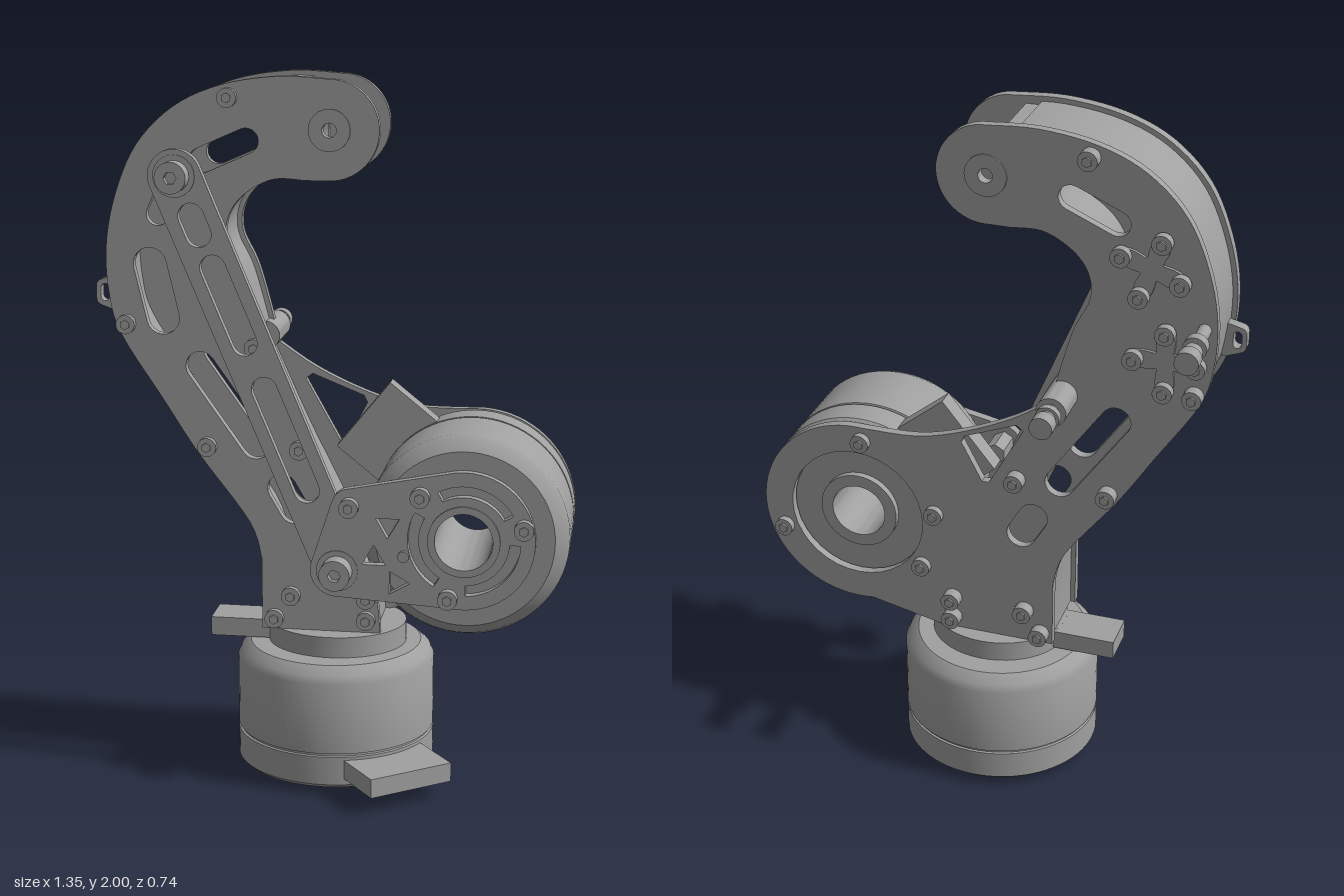
import * as THREE from 'three';
import { toCreasedNormals } from 'three/addons/utils/BufferGeometryUtils.js';

const grey = new THREE.MeshStandardMaterial({ color: 0xa0a0a0 });
grey.name = 'machined grey';

const V = (x, y) => new THREE.Vector2(x, y);
const toV = (list) => list.map(([x, y]) => V(x, y));

export function createModel() {
  const model = new THREE.Group();
  model.name = 'robotArm';

  const add = (name, geo, x = 0, y = 0, z = 0) => {
    const m = new THREE.Mesh(toCreasedNormals(geo, 0.5), grey);
    m.name = name;
    m.position.set(x, y, z);
    model.add(m);
    return m;
  };

  // ---------- outline helpers ----------
  const ccw = (pts) => (THREE.ShapeUtils.area(pts) < 0 ? pts.slice().reverse() : pts);
  const smooth = (list, n = 40) => new THREE.SplineCurve(toV(list)).getPoints(n);
  const arc = (cx, cy, r, a0, a1, n = 24) =>
    Array.from({ length: n + 1 }, (_, i) => {
      const a = THREE.MathUtils.degToRad(a0 + ((a1 - a0) * i) / n);
      return V(cx + r * Math.cos(a), cy + r * Math.sin(a));
    });
  const circle = (cx, cy, r, n = 36) => arc(cx, cy, r, 0, 360 - 360 / n, n - 1);
  const slot = (x0, y0, x1, y1, r) => {
    const a = THREE.MathUtils.radToDeg(Math.atan2(y1 - y0, x1 - x0));
    return [...arc(x1, y1, r, a - 90, a + 90, 10), ...arc(x0, y0, r, a + 90, a + 270, 10)];
  };
  const ringSlot = (cx, cy, r0, r1, a0, a1) => [...arc(cx, cy, r1, a0, a1, 14), ...arc(cx, cy, r0, a1, a0, 14)];
  const hull = (circles) => {
    const pts = circles.flatMap(([x, y, r]) => circle(x, y, r, 48)).sort((a, b) => a.x - b.x || a.y - b.y);
    const half = (list) => {
      const h = [];
      for (const p of list) {
        while (h.length > 1 && h.at(-1).clone().sub(h.at(-2)).cross(p.clone().sub(h.at(-1))) <= 0) h.pop();
        h.push(p);
      }
      return h.slice(0, -1);
    };
    return [...half(pts), ...half(pts.slice().reverse())];
  };
  // flat part lying in the xy plane, from z0 to z1
  const plate = (name, outline, holes, z0, z1) => {
    const shape = new THREE.Shape(ccw(outline));
    shape.holes = holes.map((h) => new THREE.Path(ccw(h)));
    const geo = new THREE.ExtrudeGeometry(shape, { depth: z1 - z0, bevelEnabled: false });
    return add(name, geo, 0, 0, z0);
  };
  // strip that follows a line, between two offsets to its right
  const strip = (pts, d0, d1) => {
    const off = (d) => pts.map((p, i) => {
      const t = pts[Math.min(i + 1, pts.length - 1)].clone().sub(pts[Math.max(i - 1, 0)]).normalize();
      return V(p.x + t.y * d, p.y - t.x * d);
    });
    return [...off(d0), ...off(d1).reverse()];
  };
  const rod = (name, x, y, z0, z1, r, seg = 24) =>
    add(name, new THREE.CylinderGeometry(r, r, Math.abs(z1 - z0), seg).rotateX(Math.PI / 2), x, y, (z0 + z1) / 2);
  const bolt = (name, x, y, z, dir, h = 0.025) => {
    rod(name, x, y, z, z + dir * h, 0.027, 20);
    rod(name + 'Socket', x, y, z + dir * h, z + dir * (h + 0.006), 0.014, 6);
  };

  // ---------- motors: hollow drums with a seam and a chamfered top ----------
  const motorGeo = () => new THREE.LatheGeometry(toV([
    [0.08, 0], [0.115, 0], [0.115, 0.02], [0.272, 0.02], [0.285, 0.032], [0.285, 0.115], [0.279, 0.117],
    [0.279, 0.123], [0.285, 0.125], [0.285, 0.33], [0.275, 0.352], [0.247, 0.375], [0.08, 0.375], [0.08, 0],
  ]), 72);
  add('baseMotor', motorGeo(), -0.005, 0, -0.04);
  add('armMotor', motorGeo().rotateX(Math.PI / 2), 0.39, 0.763, -0.16);
  add('baseConnector', new THREE.BoxGeometry(0.257, 0.055, 0.19), 0.2, 0.078, 0.21).rotation.y = 0.647;
  add('armConnector', new THREE.BoxGeometry(0.244, 0.19, 0.055), 0.145, 0.981, -0.082).rotation.z = 0.893;
  for (const a of [0.5, 2.6, 4.7])
    add('baseScrew', new THREE.CylinderGeometry(0.025, 0.025, 0.01, 16), -0.005 + 0.19 * Math.cos(a), 0.017, -0.04 + 0.19 * Math.sin(a));

  // ---------- turret ----------
  const turret = add('turretPlate', new THREE.CylinderGeometry(0.2, 0.2, 0.06, 48), 0, 0.405, -0.04);
  turret.scale.z = 0.915;
  add('turretTab', new THREE.BoxGeometry(0.22, 0.055, 0.12), -0.255, 0.407, -0.05);

  // ---------- curved arm: two side plates with walls between ----------
  const outer = [V(-0.2, 0.435), ...smooth([
    [-0.2, 0.64], [-0.235, 0.75], [-0.38, 0.945], [-0.48, 1.1], [-0.595, 1.28], [-0.628, 1.395], [-0.633, 1.53],
    [-0.605, 1.67], [-0.543, 1.81], [-0.438, 1.915], [-0.306, 1.975], [-0.148, 2.0], [-0.005, 1.994]], 60)];
  const tip = arc(-0.005, 1.857, 0.137, 85, -85);
  const inner = smooth([
    [-0.07, 1.72], [-0.16, 1.722], [-0.24, 1.68], [-0.285, 1.62], [-0.29, 1.545], [-0.243, 1.44], [-0.185, 1.225]], 36);
  const frontTail = smooth([[-0.185, 1.225], [-0.085, 1.0], [0, 0.83], [0.06, 0.7], [0.125, 0.56], [0.14, 0.435]], 20).slice(1);
  const backTail = [...smooth([[-0.185, 1.225], [-0.08, 1.155], [0.06, 1.09], [0.2, 1.05], [0.36, 1.046]], 16).slice(1),
    ...arc(0.39, 0.763, 0.284, 90, -98, 40), V(0.14, 0.435)];
  const shared = [
    slot(-0.36, 1.77, -0.235, 1.825, 0.035), slot(-0.37, 1.195, -0.215, 0.975, 0.042),
    slot(-0.14, 0.85, -0.105, 0.79, 0.042), circle(-0.005, 1.857, 0.02, 20)];
  plate('frontArmPlate', [...outer, ...tip, ...inner, ...frontTail],
    [...shared, slot(-0.485, 1.62, -0.445, 1.71, 0.032), slot(-0.51, 1.48, -0.475, 1.33, 0.047)], 0.055, 0.083);
  plate('backArmPlate', [...outer, ...tip, ...inner, ...backTail],
    [...shared, circle(0.39, 0.763, 0.2), toV([[-0.11, 1.12], [-0.09, 1.135], [0.06, 1.075], [0.07, 1.055], [0.01, 0.94], [-0.01, 0.94]])],
    -0.173, -0.148);
  plate('outerWall', strip(outer.slice(0, -3), 0.014, 0.04), [], -0.148, 0.055);
  plate('innerWall', strip([...inner, ...frontTail], 0.014, 0.04), [], -0.148, 0.055);

  // fork end cap with its bore, and hub discs on the fork
  const cap = new THREE.Shape(ccw(toV([[-0.102, -0.115], [0.102, -0.115], [0.102, 0.118], [-0.102, 0.118]])));
  cap.holes.push(new THREE.Path(ccw(circle(0, 0, 0.085))));
  add('forkEndCap', new THREE.ExtrudeGeometry(cap, { depth: 0.07, bevelEnabled: false }).rotateY(Math.PI / 2), -0.11, 1.857, -0.0465);
  for (const [z0, z1] of [[0.08, 0.088], [-0.178, -0.17]])
    plate('forkHub', circle(-0.005, 1.857, 0.058), [circle(-0.005, 1.857, 0.02, 20)], z0, z1);

  // star-shaped cover plates on the back
  for (const [cx, cy, turn] of [[-0.455, 1.66, 0.35], [-0.5, 1.4, 0]]) {
    const star = Array.from({ length: 48 }, (_, i) => {
      const a = (i / 48) * Math.PI * 2, r = 0.068 + 0.035 * Math.cos(4 * (a - turn));
      return V(cx + r * Math.cos(a), cy + r * Math.sin(a));
    });
    plate('starCover', star, [], -0.182, -0.172);
    for (let k = 0; k < 4; k++) {
      const a = turn + (k * Math.PI) / 2;
      bolt('starBolt', cx + 0.085 * Math.cos(a), cy + 0.085 * Math.sin(a), -0.18, -1);
    }
  }

  // bolts through both arm plates
  const through = [[-0.285, 1.942], [-0.58, 1.31], [-0.353, 0.965], [-0.09, 0.965], [-0.216, 1.252],
    [-0.116, 0.536], [-0.164, 0.467], [0.1, 0.536], [0.1, 0.472]];
  for (const [x, y] of through) {
    bolt('frontBolt', x, y, 0.083, 1, 0.018);
    bolt('backBolt', x, y, -0.173, -1, 0.034);
  }
  for (const a of [95, 170, 215, 340])
    bolt('motorMountBolt', 0.39 + 0.24 * Math.cos(a * Math.PI / 180), 0.763 + 0.24 * Math.sin(a * Math.PI / 180), -0.173, -1, 0.02);

  // ---------- crank on the arm motor ----------
  const triangle = (x, y, a) => arc(x, y, 0.038, a, a + 240, 2);
  plate('crank', hull([[0.39, 0.763, 0.195], [0.04, 0.665, 0.075], [0.074, 0.849, 0.05]]), [
    circle(0.39, 0.763, 0.08),
    ...[[30, 118], [150, 238], [272, 358]].map(([a, b]) => ringSlot(0.39, 0.763, 0.125, 0.155, a, b)),
    triangle(0.142, 0.705, 90), triangle(0.18, 0.8, 30), triangle(0.205, 0.637, 0)], 0.214, 0.24);
  plate('crankLip', circle(0.39, 0.763, 0.1), [circle(0.39, 0.763, 0.08)], 0.238, 0.247);
  for (const [x, y] of [[0.27, 0.886], [0.554, 0.806], [0.348, 0.6], [0.074, 0.849]]) bolt('crankBolt', x, y, 0.24, 1);
  rod('crankPin', 0.225, 0.715, 0.24, 0.25, 0.016, 16);
  rod('crankSpacer', 0.074, 0.849, 0.13, 0.215, 0.032, 6);

  // ---------- link rod and its pivots ----------
  const top = [-0.41, 1.74], low = [0.04, 0.665];
  const along = (t) => [top[0] + (low[0] - top[0]) * t, top[1] + (low[1] - top[1]) * t];
  plate('linkRod', hull([[...top, 0.073], [...along(0.3), 0.068], [...low, 0.07]]),
    [[0.1, 0.145], [0.23, 0.42], [0.54, 0.8]].map(([a, b]) => slot(...along(a), ...along(b), 0.036)), 0.175, 0.202);
  rod('upperPivotShaft', ...top, 0.07, 0.18, 0.022);
  rod('lowerPivotShaft', ...low, 0.17, 0.25, 0.03);
  for (const [p, z0, z1] of [[top, 0.2, 0.25], [low, 0.238, 0.295]]) {
    plate('pivotBoss', circle(...p, 0.043), [circle(...p, 0.018, 6)], z0, z1);
    rod('pivotWasher', ...p, z0 - 0.002, z0 + 0.006, 0.058);
    rod('pivotSocketFloor', ...p, z0, z1 - 0.02, 0.019, 16);
  }

  // ---------- hose fittings on the back ----------
  rod('lowerFittingBody', -0.22, 1.252, -0.1, -0.278, 0.042, 28);
  rod('lowerFittingNeck', -0.22, 1.252, -0.27, -0.34, 0.025);
  rod('lowerFittingCollar', -0.22, 1.252, -0.295, -0.315, 0.034);
  rod('upperFittingStem', -0.6, 1.505, -0.15, -0.34, 0.018);
  rod('upperFittingJoint', -0.6, 1.505, -0.255, -0.285, 0.032);
  rod('upperFittingCollar', -0.6, 1.505, -0.3, -0.325, 0.026);
  for (const [x, y] of [[-0.22, 1.252], [-0.6, 1.505]]) rod('fittingTip', x, y, -0.332, -0.372, 0.032);

  // small cable loop on the outer edge
  plate('cableLoop', hull([[-0.653, 1.41, 0.02], [-0.653, 1.375, 0.02], [-0.615, 1.43, 0.01], [-0.615, 1.35, 0.01]]),
    [slot(-0.648, 1.405, -0.648, 1.38, 0.012)], 0.018, 0.05);

  return model;
}
